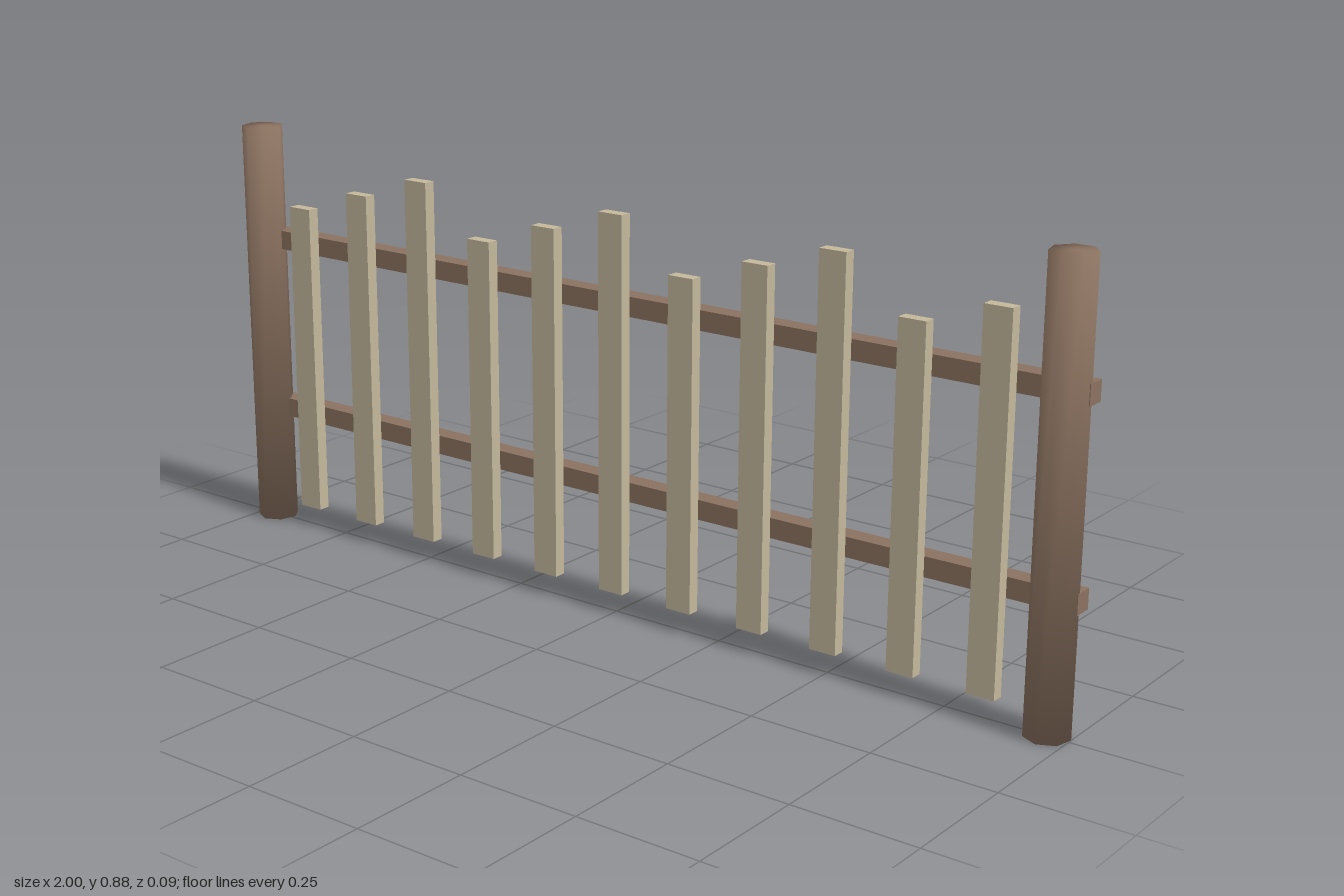
import * as THREE from 'three';

export function createModel() {
  const model = new THREE.Group();
  model.name = 'picketFence';

  const brown = new THREE.MeshStandardMaterial({ color: 0x8b7260 });
  brown.name = 'brownWood';
  const pale = new THREE.MeshStandardMaterial({ color: 0xc4b79b });
  pale.name = 'paleWood';

  const add = (name, geometry, material, x, y, z) => {
    const mesh = new THREE.Mesh(geometry, material);
    mesh.name = name;
    mesh.position.set(x, y, z);
    model.add(mesh);
  };

  // Seven-sided post whose normals are shared by sides and caps
  const radius = 0.0435, height = 0.875;
  const post = new THREE.CylinderGeometry(radius, radius, height, 7);
  const p = post.attributes.position;
  const n = new THREE.Vector3();
  for (let i = 0; i < p.count; i++) {
    n.set(p.getX(i) / radius, Math.sign(p.getY(i)) * 0.8, p.getZ(i) / radius).normalize();
    post.attributes.normal.setXYZ(i, n.x, n.y, n.z);
  }
  add('leftPost', post, brown, 0.9575, height / 2, 0);
  add('rightPost', post, brown, -0.9575, height / 2, 0);

  // Two square rails running behind the pickets and through the posts
  const rail = new THREE.BoxGeometry(2, 0.04, 0.04);
  add('lowerRail', rail, brown, 0, 0.255, -0.0235);
  add('upperRail', rail, brown, 0, 0.63, -0.0235);

  // Eleven pickets, stepping through three heights
  const tops = [0.714, 0.764, 0.813];
  const bottom = 0.047;
  for (let i = 0; i < 11; i++) {
    const h = tops[i % 3] - bottom;
    add('picket' + (i + 1), new THREE.BoxGeometry(0.057, h, 0.025), pale,
      (i - 5) / 6, bottom + h / 2, 0.009);
  }

  return model;
}
